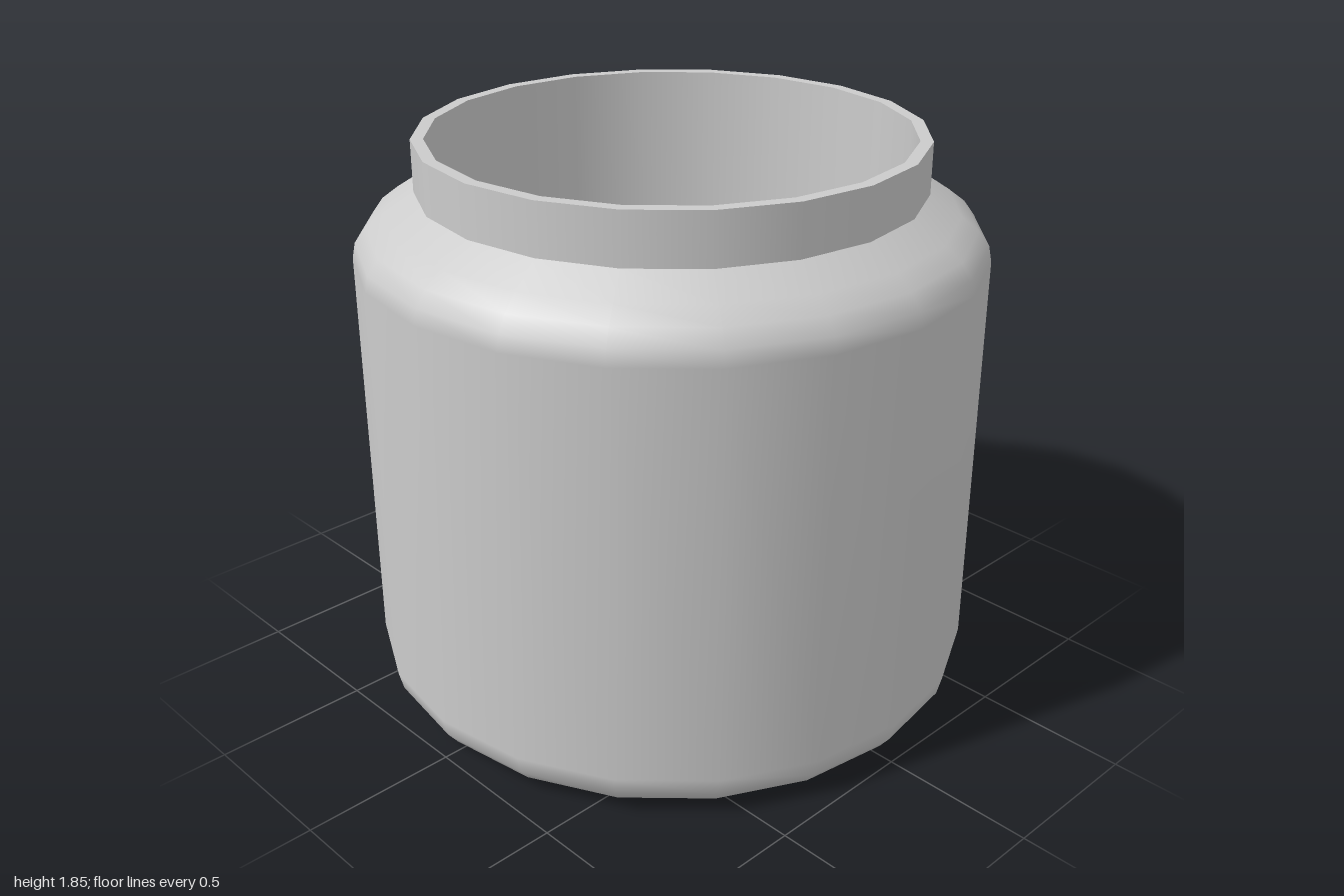
import * as THREE from 'three';

const SIDES = 20;

export function createModel() {
  const jar = new THREE.Group();
  jar.name = 'jar';
  const material = new THREE.MeshStandardMaterial({ color: 0xcccccc });

  // Revolves a profile of [radius, height] pairs; upward profiles face outwards
  const addLathe = (name, profile) => {
    const points = profile.map(([r, y]) => new THREE.Vector2(r, y));
    const geometry = new THREE.LatheGeometry(points, SIDES);
    geometry.normalizeNormals();
    const mesh = new THREE.Mesh(geometry, material);
    mesh.name = name;
    jar.add(mesh);
  };

  // Outside: flat base, rounded foot, straight wall, sloping shoulder
  addLathe('body', [
    [0, 0], [0.8, 0], [0.89, 0.008], [0.95, 0.035], [0.985, 0.08], [1, 0.14],
    [1, 1.48], [0.99, 1.53], [0.955, 1.578], [0.9, 1.62], [0.8, 1.685],
  ]);

  // Neck with a flat rim, sharp at its edges
  addLathe('neck', [[0.8, 1.685], [0.8, 1.85]]);
  addLathe('rim', [[0.8, 1.85], [0.76, 1.85]]);

  // Inside: a straight bore from the rim down to a flat floor
  addLathe('bore', [[0.76, 1.85], [0.76, 0.04]]);
  addLathe('floorInside', [[0.76, 0.04], [0, 0.04]]);

  return jar;
}
